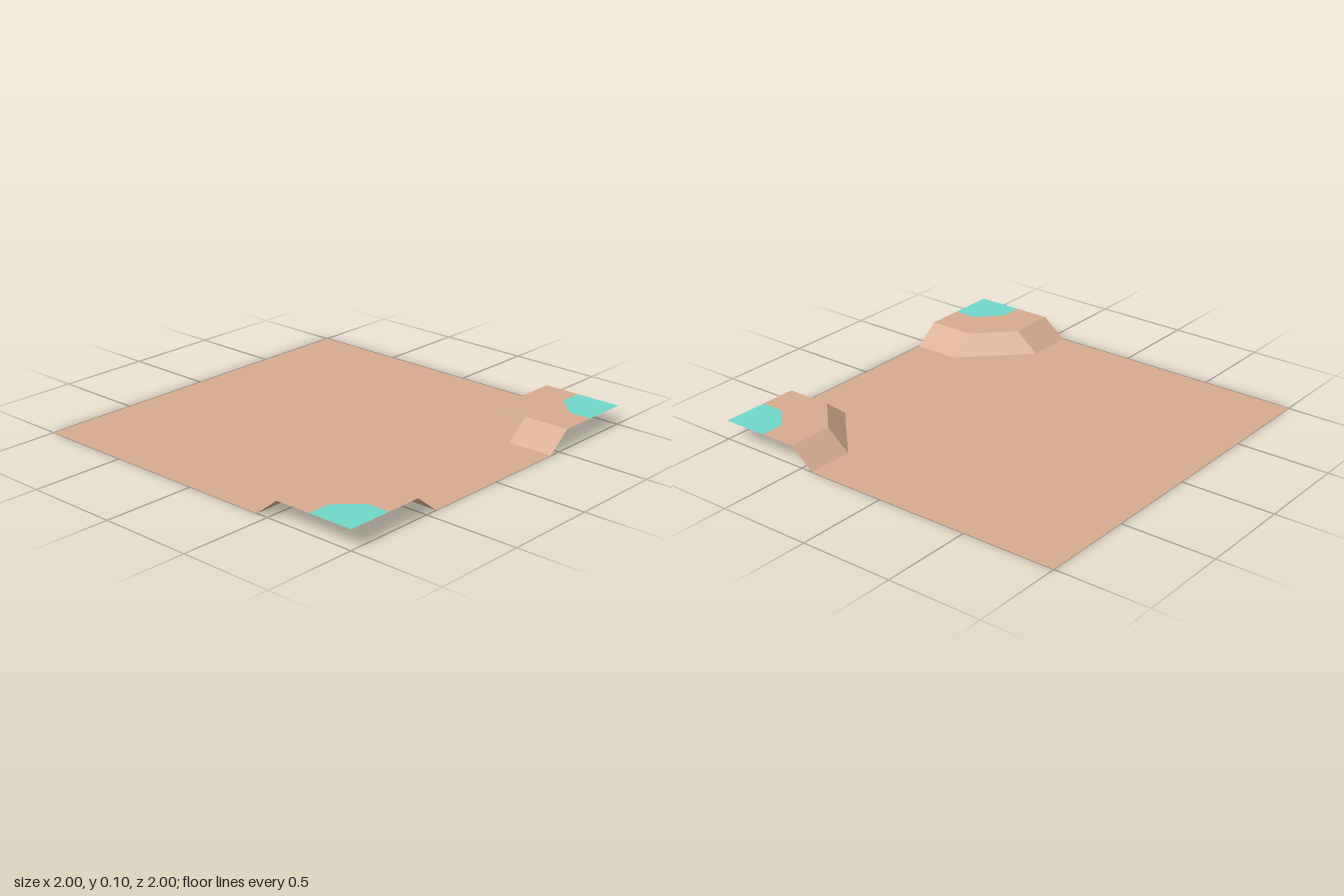
import * as THREE from 'three';

const HEIGHT = 0.1;

// Chamfered corner path, from the side edge (x = 1) round to the front edge (z = 1).
const cornerPath = (start, bend) => [[1, start], [bend, start], [start, bend], [start, 1]];
const foot = cornerPath(0.433, 0.75);
const rim = cornerPath(0.559, 0.75);
const patch = cornerPath(0.755, 0.875);

const mirror = (path, side) => path.map(([x, z]) => [side * x, z]);

// Horizontal sheet from an outline of [x, z] points.
function sheet(name, outline, y, material) {
  const shape = new THREE.Shape(outline.map(([x, z]) => new THREE.Vector2(x, -z)));
  const mesh = new THREE.Mesh(new THREE.ShapeGeometry(shape).rotateX(-Math.PI / 2), material);
  mesh.position.y = y;
  mesh.name = name;
  return mesh;
}

// Sloped band joining the ground to the raised rim.
function bank(name, side, material) {
  const low = mirror(foot, side), high = mirror(rim, side);
  const positions = [];
  for (let i = 0; i < low.length - 1; i++) {
    const a = [low[i][0], 0, low[i][1]];
    const b = [low[i + 1][0], 0, low[i + 1][1]];
    const c = [high[i + 1][0], HEIGHT, high[i + 1][1]];
    const d = [high[i][0], HEIGHT, high[i][1]];
    const corners = side > 0 ? [a, b, c, a, c, d] : [a, c, b, a, d, c];
    positions.push(...corners.flat());
  }
  const geometry = new THREE.BufferGeometry();
  geometry.setAttribute('position', new THREE.Float32BufferAttribute(positions, 3));
  geometry.computeVertexNormals();
  const mesh = new THREE.Mesh(geometry, material);
  mesh.name = name;
  return mesh;
}

export function createModel() {
  const earth = new THREE.MeshStandardMaterial({ color: 0xd6ab8f, side: THREE.DoubleSide, flatShading: true });
  earth.name = 'earth';
  const grass = new THREE.MeshStandardMaterial({ color: 0x70d6ca, side: THREE.DoubleSide, flatShading: true });
  grass.name = 'teal grass';

  const model = new THREE.Group();
  model.name = 'terrainTile';

  // Low ground with both front corners cut away
  const ground = [[-1, -1], [1, -1], ...foot, ...mirror(foot, -1).reverse()];
  model.add(sheet('ground', ground, 0, earth));

  // Raised front corners
  for (const side of [1, -1]) {
    const corner = new THREE.Group();
    corner.name = side > 0 ? 'leftCorner' : 'rightCorner';
    const ledge = [...rim, ...[...patch].reverse()];
    corner.add(
      bank('bank', side, earth),
      sheet('ledge', mirror(ledge, side), HEIGHT, earth),
      sheet('grassPatch', mirror([...patch, [1, 1]], side), HEIGHT, grass),
    );
    model.add(corner);
  }
  return model;
}
